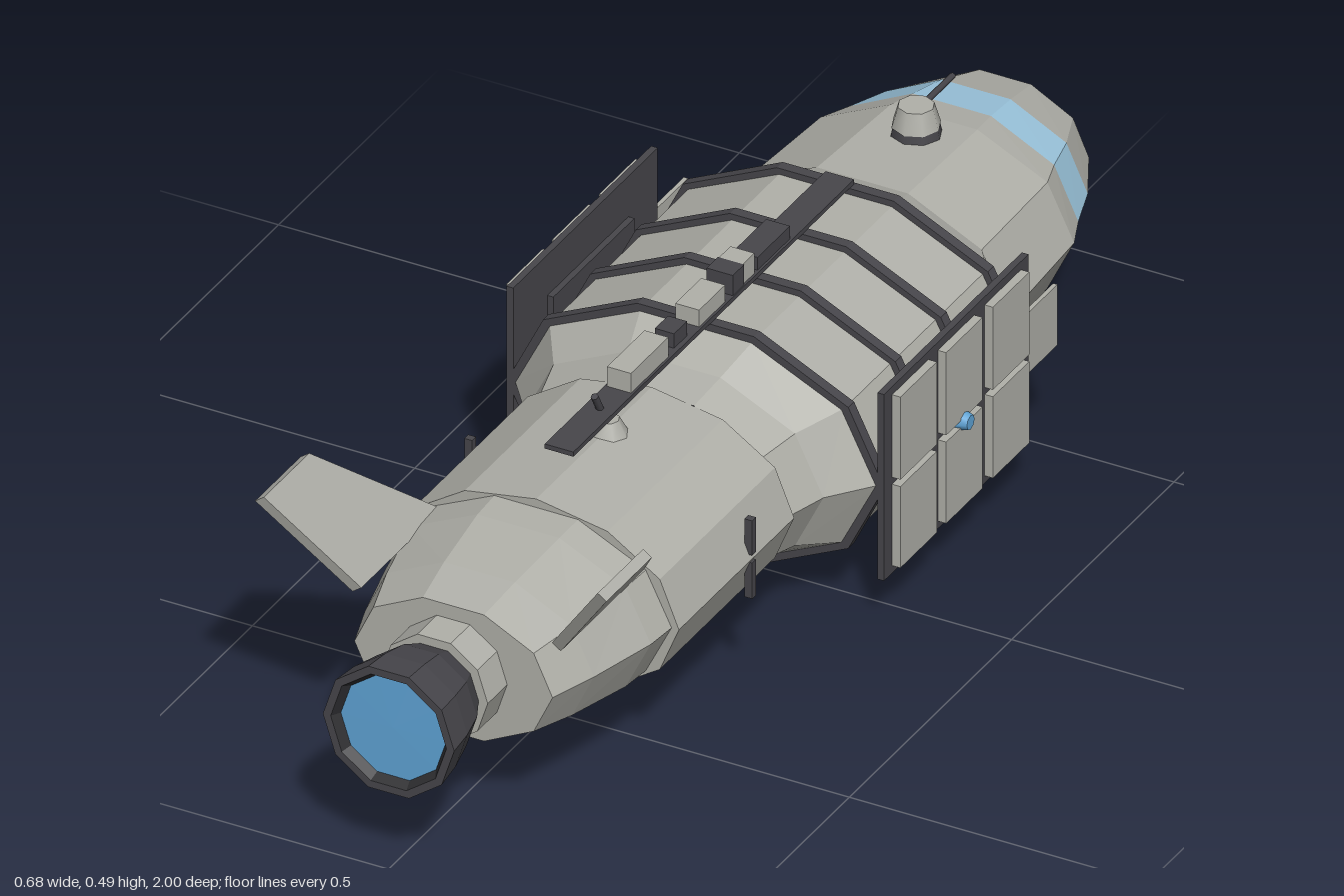
import * as THREE from 'three';

const CY = 0.237; // height of the ship's long axis

export function createModel() {
  const ship = new THREE.Group();
  ship.name = 'spaceship';
  const mat = (name, color) => {
    const m = new THREE.MeshStandardMaterial({ color });
    m.name = name;
    return m;
  };
  const hull = mat('hull grey', 0xb0b0a9);
  const dark = mat('dark trim', 0x47464b);
  const black = mat('nozzle lining', 0x2f2f32);
  const blue = mat('engine blue', 0x5fa4d6);
  const glass = mat('window blue', 0x9cc6de);

  const add = (name, geo, material, x = 0, y = 0, z = 0) => {
    const m = new THREE.Mesh(geo, material);
    m.name = name;
    m.position.set(x, y, z);
    ship.add(m);
    return m;
  };
  // box given by its limits
  const box = (name, material, x0, x1, y0, y1, z0, z1) =>
    add(name, new THREE.BoxGeometry(x1 - x0, y1 - y0, z1 - z0), material,
      (x0 + x1) / 2, (y0 + y1) / 2, (z0 + z1) / 2);

  // faceted elliptical loft through [z, rx, ry] rings, listed towards +z
  const loft = (name, material, rings, n = 10) => {
    const pos = [];
    const pt = ([z, rx, ry = rx], j) => {
      const a = (j / n) * Math.PI * 2;
      return [rx * Math.cos(a), ry * Math.sin(a), z];
    };
    for (let i = 0; i < rings.length - 1; i++) {
      for (let j = 0; j < n; j++) {
        const a = pt(rings[i], j), b = pt(rings[i], j + 1);
        const c = pt(rings[i + 1], j + 1), d = pt(rings[i + 1], j);
        if (rings[i][1] > 0) pos.push(...a, ...b, ...d);
        if (rings[i + 1][1] > 0) pos.push(...b, ...c, ...d);
      }
    }
    const g = new THREE.BufferGeometry();
    g.setAttribute('position', new THREE.Float32BufferAttribute(pos, 3));
    g.computeVertexNormals();
    return add(name, g, material, 0, CY, 0);
  };

  // nose, window band and main hull
  loft('noseCone', hull, [[-1, 0, 0], [-0.9, 0.14, 0.103], [-0.81, 0.187, 0.132]]);
  loft('windowBand', glass, [[-0.81, 0.187, 0.132], [-0.735, 0.212, 0.147]]);
  loft('forwardHull', hull, [[-0.735, 0.212, 0.147], [-0.68, 0.235, 0.156],
    [-0.46, 0.247, 0.167], [-0.39, 0.305, 0.197]]);
  loft('midHull', hull, [[-0.39, 0.305, 0.197], [0.05, 0.305, 0.197],
    [0.12, 0.25, 0.165], [0.19, 0.23, 0.152]]);
  loft('engineSleeve', hull, [[0.19, 0.21, 0.13], [0.19, 0.239, 0.156],
    [0.545, 0.239, 0.156], [0.545, 0.2, 0.12]], 12);
  loft('tailHull', hull, [[0.53, 0.228, 0.149], [0.6, 0.222, 0.146],
    [0.72, 0.192, 0.131], [0.8, 0.166, 0.115], [0.8, 0, 0]]);

  // hoops round the middle
  for (const z of [-0.385, -0.24, -0.1, 0.045]) {
    loft('hoop', dark, [[z - 0.009, 0.29, 0.185], [z - 0.009, 0.316, 0.208],
      [z + 0.009, 0.316, 0.208], [z + 0.009, 0.29, 0.185]]);
  }

  // engine
  loft('engineCollar', hull, [[0.79, 0.09], [0.86, 0.09], [0.86, 0.05]]);
  loft('nozzle', dark, [[0.845, 0.05], [0.85, 0.07], [0.9, 0.094], [0.95, 0.105],
    [1, 0.11], [1, 0.097]]);
  loft('nozzleLining', black, [[1, 0.097], [0.985, 0.088]]);
  loft('engineGlow', blue, [[0.985, 0.0885], [0.986, 0]]);

  for (const s of [1, -1]) {
    const sideBox = (name, m, x0, x1, ...r) =>
      box(name, m, Math.min(s * x0, s * x1), Math.max(s * x0, s * x1), ...r);

    // side panel: dark backing, six light plates, hub and mounting plates
    sideBox('panelFrame', dark, 0.305, 0.316, 0.077, 0.4, -0.39, 0.055);
    for (const z of [-0.367, -0.223, -0.082]) {
      for (const [y0, y1] of [[0.09, 0.231], [0.243, 0.386]])
        sideBox('panelPlate', hull, 0.316, 0.33, y0, y1, z, z + 0.112);
    }
    sideBox('panelMount', dark, 0.295, 0.305, 0.15, 0.33, -0.3, -0.05);
    sideBox('panelTab', hull, 0.306, 0.313, 0.19, 0.295, -0.485, -0.385);
    const hub = add('panelHub', new THREE.CylinderGeometry(0.012, 0.02, 0.026, 8),
      s > 0 ? blue : hull, s * 0.327, CY, -0.168);
    hub.rotation.z = -s * Math.PI / 2;
    for (const [y0, y1] of [[0.17, 0.232], [0.245, 0.305]])
      sideBox('sideBar', dark, 0.228, 0.241, y0, y1, 0.311, 0.323);

    // swept tail fin, drawn as (z, distance outwards)
    const shape = new THREE.Shape([[0.54, 0], [0.73, 0.204], [0.87, 0.204], [0.79, 0]]
      .map(([z, d]) => new THREE.Vector2(z, d)));
    const g = new THREE.ExtrudeGeometry(shape, { depth: 0.018, bevelEnabled: false });
    g.translate(0, 0, -0.009);
    const out = new THREE.Vector3(s * 0.588, 0.809, 0);
    const along = new THREE.Vector3(0, 0, 1);
    const fin = add('tailFin', g, hull);
    fin.setRotationFromMatrix(new THREE.Matrix4()
      .makeBasis(along, out, along.clone().cross(out)));
    fin.position.set(s * 0.167, 0.32, 0);
  }

  // dorsal rail with equipment boxes
  box('dorsalRail', dark, -0.024, 0.024, 0.435, 0.443, -0.39, 0.475);
  for (const [m, w, h, z0, z1] of [
    [hull, 0.02, 0.477, 0.175, 0.29], [dark, 0.016, 0.468, 0.11, 0.15],
    [hull, 0.02, 0.472, 0, 0.08], [dark, 0.022, 0.478, -0.055, -0.02],
    [hull, 0.02, 0.478, -0.09, -0.055], [dark, 0.02, 0.465, -0.2, -0.1]])
    box('railBox', m, -w, w, 0.443, h, z0, z1);

  // aerial behind the rail
  add('aerialBase', new THREE.CylinderGeometry(0.018, 0.032, 0.026, 8).toNonIndexed(), hull, 0, 0.4, 0.325);
  const aerial = add('aerial', new THREE.CylinderGeometry(0.006, 0.006, 0.085, 6), dark, 0, 0.435, 0.345);
  aerial.rotation.x = 0.5;

  // nose turret
  add('turretBase', new THREE.CylinderGeometry(0.036, 0.04, 0.02, 8), dark, 0, 0.395, -0.625);
  add('turret', new THREE.CylinderGeometry(0.028, 0.038, 0.034, 8), hull, 0, 0.42, -0.625);
  const barrel = add('turretBarrel', new THREE.CylinderGeometry(0.005, 0.005, 0.1, 6), dark, 0, 0.426, -0.688);
  barrel.rotation.x = Math.PI / 2;

  // equipment under the belly
  box('bellyBox', hull, -0.007, 0.014, 0, 0.038, 0.2, 0.267);
  box('bellyBox', dark, -0.036, -0.007, 0.018, 0.037, 0.14, 0.21);
  box('bellyBox', hull, 0, 0.022, 0.018, 0.037, -0.017, 0.02);
  box('bellyBox', dark, -0.034, -0.008, 0.022, 0.038, -0.205, -0.085);
  return ship;
}
